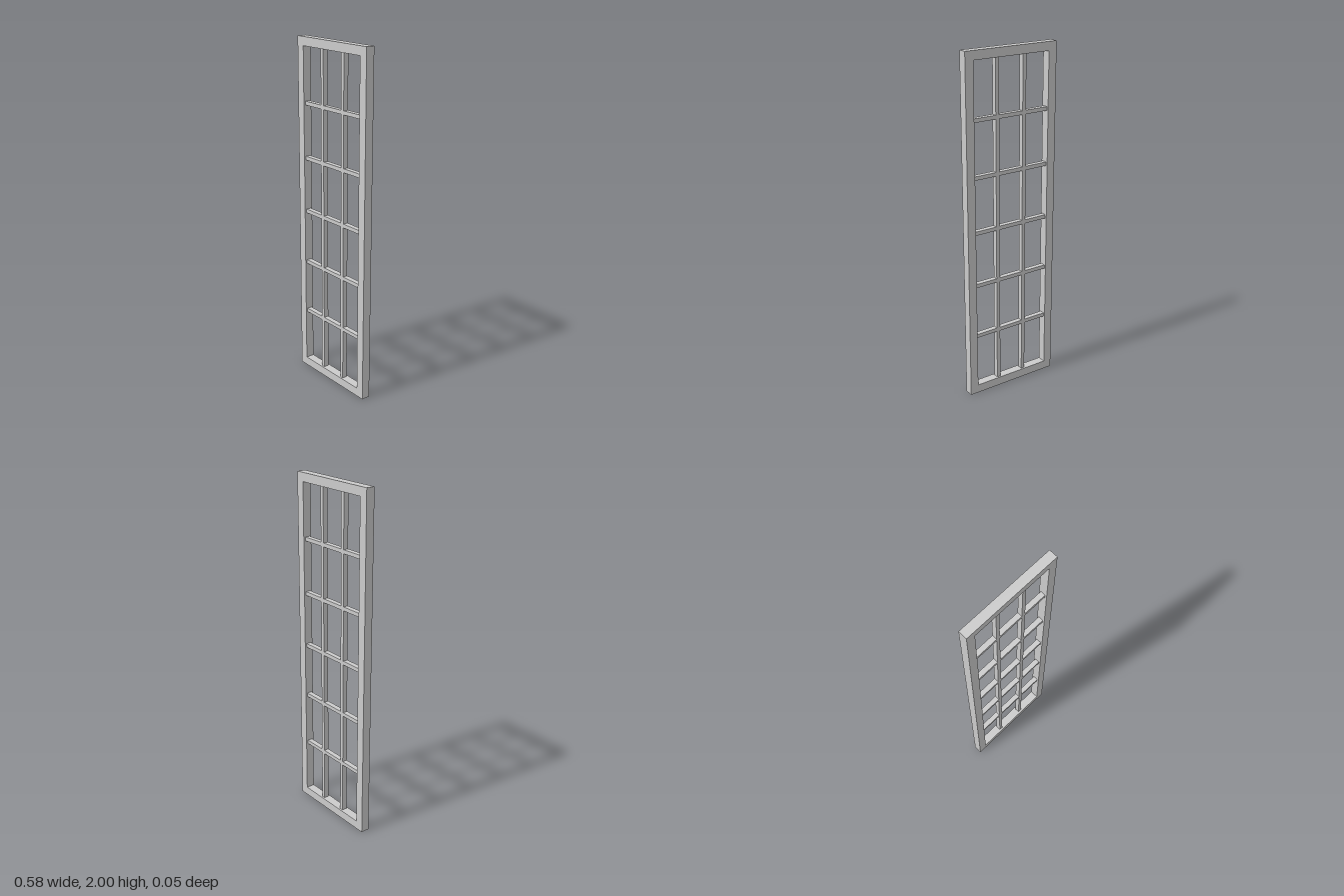
import * as THREE from 'three';

const WIDTH = 0.578, HEIGHT = 2, DEPTH = 0.051, BORDER = 0.05;
const BAR = 0.022, BAR_DEPTH = 0.03;

export function createModel() {
  const group = new THREE.Group();
  group.name = 'latticeWindow';
  const material = new THREE.MeshStandardMaterial({ color: 0xcccccc });

  const add = (name, geometry, x = 0, y = 0, z = 0) => {
    const mesh = new THREE.Mesh(geometry, material);
    mesh.name = name;
    mesh.position.set(x, y, z);
    group.add(mesh);
  };

  // Outer frame: one rectangle with a rectangular opening
  const rect = (path, hw, y0, y1) =>
    path.moveTo(-hw, y0).lineTo(hw, y0).lineTo(hw, y1).lineTo(-hw, y1).closePath();
  const outline = new THREE.Shape();
  rect(outline, WIDTH / 2, 0, HEIGHT);
  const opening = new THREE.Path();
  rect(opening, WIDTH / 2 - BORDER, BORDER, HEIGHT - BORDER);
  outline.holes.push(opening);
  add('frame', new THREE.ExtrudeGeometry(outline, { depth: DEPTH, bevelEnabled: false }), 0, 0, -DEPTH / 2);

  // Two upright glazing bars
  const innerWidth = WIDTH - 2 * BORDER, innerHeight = HEIGHT - 2 * BORDER;
  for (const side of [-1, 1]) {
    add(side < 0 ? 'rightUprightBar' : 'leftUprightBar',
      new THREE.BoxGeometry(BAR, innerHeight, BAR_DEPTH), side * 0.087, HEIGHT / 2);
  }

  // Five rows of cross bars, cut into segments that meet the uprights
  const edges = [-innerWidth / 2, -0.087 - BAR / 2, -0.087 + BAR / 2,
    0.087 - BAR / 2, 0.087 + BAR / 2, innerWidth / 2];
  for (let row = 1; row <= 5; row++) {
    const y = BORDER + (innerHeight * row) / 6;
    for (let i = 0; i < edges.length; i += 2) {
      add(`crossBar${row}_${i / 2 + 1}`,
        new THREE.BoxGeometry(edges[i + 1] - edges[i], BAR, BAR_DEPTH),
        (edges[i] + edges[i + 1]) / 2, y);
    }
  }
  return group;
}
